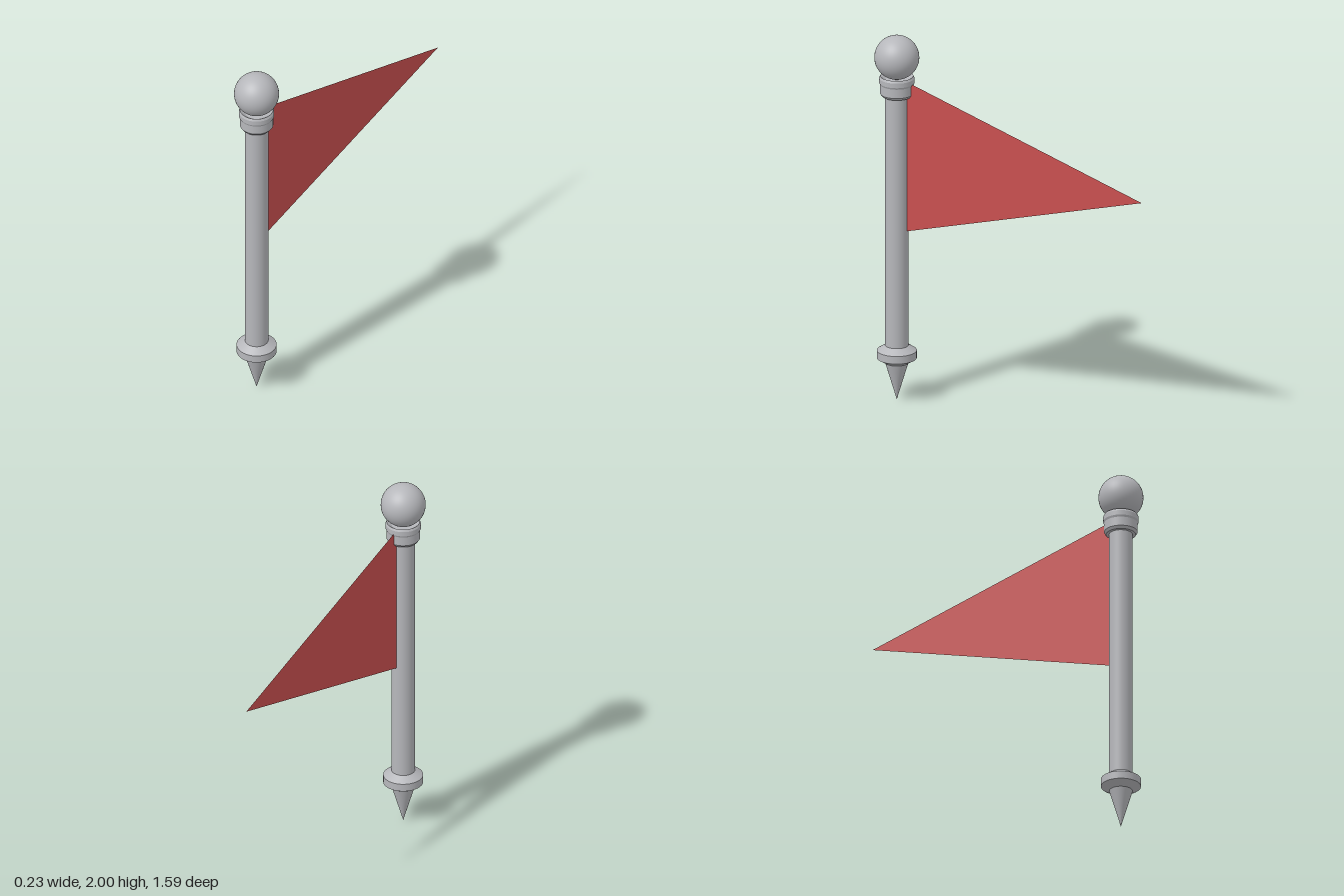
import * as THREE from 'three';

const POLE_Z = 0.68;

export function createModel() {
  const group = new THREE.Group();
  const metal = new THREE.MeshStandardMaterial({ color: 0xb6b7bb });
  metal.name = 'greyMetal';
  const cloth = new THREE.MeshStandardMaterial({ color: 0xc95050, side: THREE.DoubleSide });
  cloth.name = 'redCloth';

  const add = (name, geometry, material, y = 0) => {
    const mesh = new THREE.Mesh(geometry, material);
    mesh.name = name;
    mesh.position.set(0, y, POLE_Z);
    group.add(mesh);
  };

  // Turned part with crisp edges: each profile segment is its own band of a lathe
  const addTurned = (name, profile) => {
    const part = new THREE.Group();
    part.name = name;
    part.position.z = POLE_Z;
    for (let i = 0; i < profile.length - 1; i++) {
      const points = [profile[i], profile[i + 1]].map(([r, y]) => new THREE.Vector2(r, y));
      const band = new THREE.Mesh(new THREE.LatheGeometry(points, 40), metal);
      band.name = name + 'Band';
      part.add(band);
    }
    group.add(part);
  };

  // Pointed foot and the bevelled ring above it
  addTurned('groundSpike', [[0, 0], [0.061, 0.205]]);
  addTurned('footRing', [[0.055, 0.204], [0.061, 0.204], [0.104, 0.23], [0.104, 0.272], [0.061, 0.3]]);

  // Pole
  add('pole', new THREE.CylinderGeometry(0.061, 0.061, 1.5, 40), metal, 1.0);

  // Collar with a shallow cup that holds the ball
  addTurned('collar', [
    [0.055, 1.672], [0.077, 1.672], [0.087, 1.686], [0.087, 1.735],
    [0.092, 1.745], [0.092, 1.77], [0.086, 1.782], [0.06, 1.764], [0, 1.764],
  ]);

  // Ball finial
  add('ball', new THREE.SphereGeometry(0.117, 40, 28), metal, 1.883);

  // Triangular pennant, flat in the plane x = 0
  const pennant = new THREE.Shape([
    new THREE.Vector2(0.057, 0.412),
    new THREE.Vector2(0.057, -0.412),
    new THREE.Vector2(1.476, 0),
  ]);
  const pennantGeometry = new THREE.ShapeGeometry(pennant);
  pennantGeometry.rotateY(Math.PI / 2);
  add('pennant', pennantGeometry, cloth, 1.347);

  return group;
}
